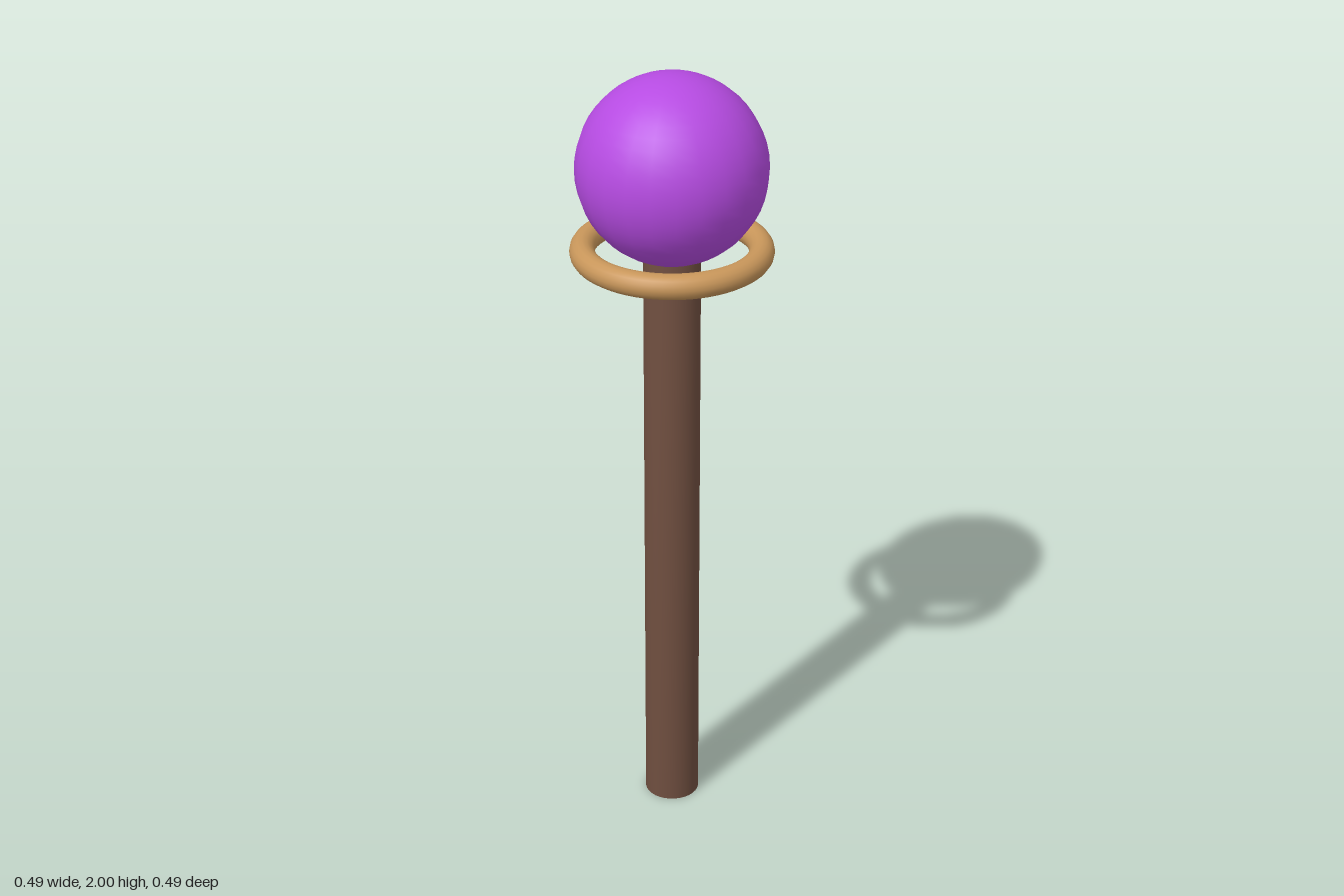
import * as THREE from 'three';
import { mergeVertices } from 'three/addons/utils/BufferGeometryUtils.js';

// Weld the rims so the shading flows from the caps into the side
function weld(geometry) {
  geometry.deleteAttribute('uv');
  geometry.deleteAttribute('normal');
  const welded = mergeVertices(geometry, 1e-4);
  welded.computeVertexNormals();
  return welded;
}

function addPart(group, name, geometry, color, y) {
  const mesh = new THREE.Mesh(geometry, new THREE.MeshStandardMaterial({ color }));
  mesh.name = name;
  mesh.position.y = y;
  group.add(mesh);
  return mesh;
}

export function createModel() {
  const group = new THREE.Group();
  group.name = 'orbStaff';

  // Straight round handle, running up to the underside of the orb
  const handleHeight = 1.56;
  const handle = weld(new THREE.CylinderGeometry(0.07, 0.07, handleHeight, 32));
  addPart(group, 'handle', handle, 0x704f40, handleHeight / 2);

  // Ring lying flat around the base of the orb
  const ring = new THREE.TorusGeometry(0.216, 0.031, 16, 64).rotateX(Math.PI / 2);
  addPart(group, 'ring', ring, 0xc8965a, 1.56);

  // Orb on top
  addPart(group, 'orb', new THREE.SphereGeometry(0.232, 24, 24), 0xb64be2, 1.768);

  return group;
}
